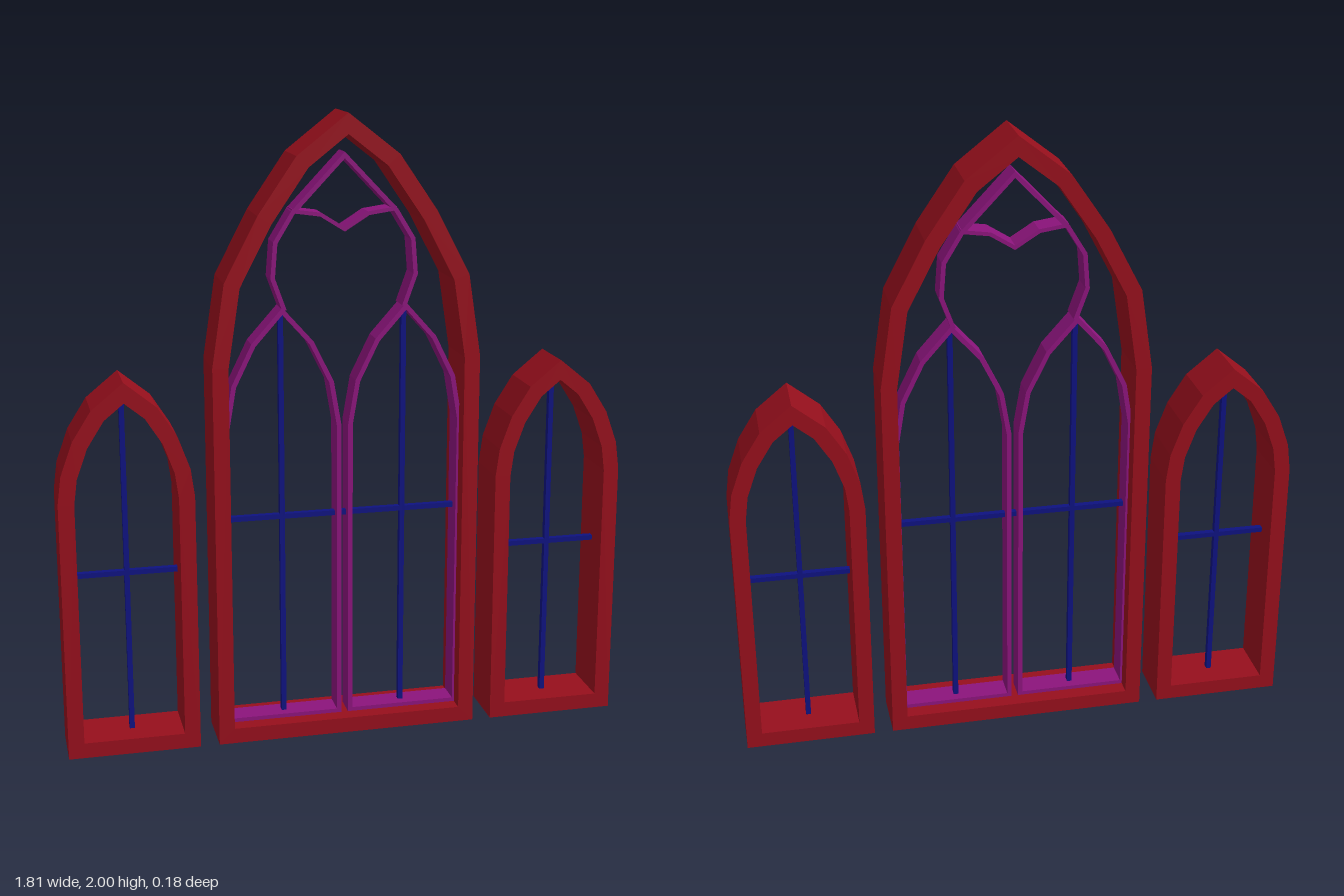
import * as THREE from 'three';

const red = new THREE.MeshStandardMaterial({ color: 0x960f1c });
const purple = new THREE.MeshStandardMaterial({ color: 0x8c147c });
const blue = new THREE.MeshStandardMaterial({ color: 0x0e1280 });

// Complete a symmetric outline from its right half (the last point is the apex)
function mirrored(half) {
  const left = half.slice(0, -1).reverse().map(([x, y]) => [-x, y]);
  return [...half, ...left].map(([x, y]) => new THREE.Vector2(x, y));
}

// Move a polyline to its left by d, with mitred corners
function offset(pts, d, closed) {
  const n = pts.length;
  const normal = (i) => {
    const t = pts[(i + 1) % n].clone().sub(pts[i]).normalize();
    return new THREE.Vector2(-t.y, t.x);
  };
  return pts.map((p, i) => {
    const before = normal(!closed && i === 0 ? 0 : (i + n - 1) % n);
    const after = normal(!closed && i === n - 1 ? n - 2 : i);
    const m = before.clone().add(after);
    return p.clone().addScaledVector(m, (2 * d) / m.lengthSq());
  });
}

function extrude(name, shape, depth, material) {
  const geo = new THREE.ExtrudeGeometry(shape, { depth, bevelEnabled: false });
  geo.translate(0, 0, -depth / 2);
  const mesh = new THREE.Mesh(geo, material);
  mesh.name = name;
  return mesh;
}

// Closed arched ring of constant width
function archRing(name, half, width, depth, material) {
  const outer = mirrored(half);
  const shape = new THREE.Shape(outer);
  shape.holes.push(new THREE.Path(offset(outer, width, true)));
  return extrude(name, shape, depth, material);
}

// Open ribbon of constant width centred on a polyline
function ribbon(name, half, width, depth, material) {
  const line = mirrored(half);
  const a = offset(line, -width / 2, false);
  const b = offset(line, width / 2, false).reverse();
  return extrude(name, new THREE.Shape([...a, ...b]), depth, material);
}

function bar(name, x0, x1, y0, y1) {
  const mesh = new THREE.Mesh(new THREE.BoxGeometry(x1 - x0, y1 - y0, 0.02), blue);
  mesh.position.set((x0 + x1) / 2, (y0 + y1) / 2, 0);
  mesh.name = name;
  return mesh;
}

export function createModel() {
  const model = new THREE.Group();
  model.name = 'triptychWindow';
  const depth = 0.18, traceryDepth = 0.08, b = 0.008;

  // Tall central window
  const centre = new THREE.Group();
  centre.name = 'centreWindow';
  centre.add(archRing('centreFrame',
    [[0.425, 0], [0.425, 1.24], [0.385, 1.5], [0.28, 1.7], [0.16, 1.875], [0, 2]],
    0.05, depth, red));
  centre.add(bar('centreCrossbar', -0.38, 0.38, 0.73 - b, 0.73 + b));

  // Pair of lancets, each with a vertical glazing bar
  for (const s of [-1, 1]) {
    const lancet = archRing(s < 0 ? 'rightLancet' : 'leftLancet',
      [[0.186, 0.048], [0.186, 1.03], [0.162, 1.17], [0.098, 1.3], [0, 1.41]],
      0.015, traceryDepth, purple);
    lancet.position.x = s * 0.197;
    centre.add(lancet);
    centre.add(bar('centreVerticalBar', s * 0.197 - b, s * 0.197 + b, 0.055, 1.4));
  }

  // Tracery head: outline rising from the lancet tips, and the cusp under its point
  centre.add(ribbon('traceryHead',
    [[0.19, 1.4], [0.226, 1.5], [0.217, 1.61], [0.162, 1.7], [0, 1.87]],
    0.014, traceryDepth, purple));
  centre.add(ribbon('traceryCusp',
    [[0.165, 1.705], [0.075, 1.692], [0, 1.645]],
    0.012, traceryDepth, purple));
  model.add(centre);

  // Low side windows
  for (const s of [-1, 1]) {
    const side = new THREE.Group();
    side.name = s < 0 ? 'rightWindow' : 'leftWindow';
    side.add(archRing('sideFrame',
      [[0.21, 0], [0.21, 0.84], [0.198, 0.93], [0.16, 1.035], [0.1, 1.13], [0, 1.212]],
      0.05, depth, red));
    side.add(bar('sideVerticalBar', -b, b, 0.045, 1.16));
    side.add(bar('sideCrossbar', -0.165, 0.165, 0.58 - b, 0.58 + b));
    side.position.x = s * 0.696;
    model.add(side);
  }
  return model;
}
